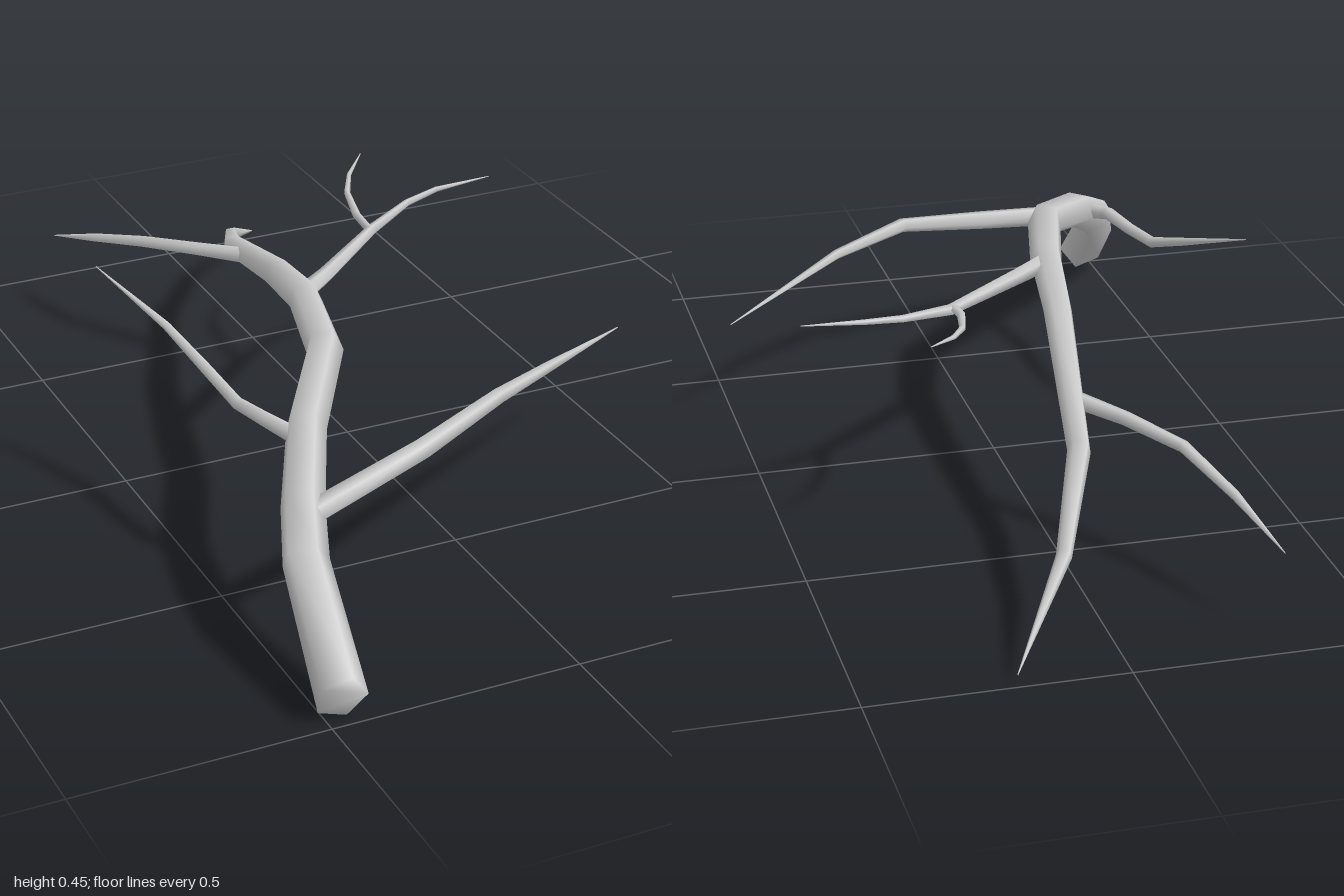
import * as THREE from 'three';

const SIDES = 5;
const material = new THREE.MeshStandardMaterial({ color: 0xcccccc });

// Tapered five-sided limb through points [x, y, z, radius], closed at its base.
// startDirection sets the slant of the base cut.
function limb(name, points, startDirection) {
  const centres = points.map(([x, y, z]) => new THREE.Vector3(x, y, z));
  const last = centres.length - 1;
  const positions = [];
  const indices = [];
  const side = new THREE.Vector3(1, 0, 0);

  centres.forEach((centre, i) => {
    // Ring square to the path; the side direction is carried along to avoid twist
    const along = new THREE.Vector3();
    if (i === 0 && startDirection) along.set(...startDirection);
    else {
      if (i > 0) along.add(centre.clone().sub(centres[i - 1]).normalize());
      if (i < last) along.add(centres[i + 1].clone().sub(centre).normalize());
    }
    along.normalize();
    side.addScaledVector(along, -side.dot(along)).normalize();
    const up = along.clone().cross(side);
    for (let j = 0; j < SIDES; j++) {
      const a = (j / SIDES) * Math.PI * 2;
      const p = centre.clone()
        .addScaledVector(side, Math.cos(a) * points[i][3])
        .addScaledVector(up, Math.sin(a) * points[i][3]);
      positions.push(p.x, p.y, p.z);
      if (i < last) {
        const k = i * SIDES;
        const n = (j + 1) % SIDES;
        indices.push(k + j, k + n, k + SIDES + j, k + n, k + SIDES + n, k + SIDES + j);
      }
    }
  });

  // Cut face, shaded softly into the bark
  for (let j = 1; j < SIDES - 1; j++) indices.push(0, j + 1, j);

  const geometry = new THREE.BufferGeometry();
  geometry.setAttribute('position', new THREE.Float32BufferAttribute(positions, 3));
  geometry.setIndex(indices);
  geometry.computeVertexNormals();
  const mesh = new THREE.Mesh(geometry, material);
  mesh.name = name;
  return mesh;
}

export function createModel() {
  const group = new THREE.Group();
  group.name = 'branch';

  group.add(
    // Arching main bough
    limb('mainBough', [
      [-0.473, 0.052, 0.982, 0.051], [-0.438, 0.205, 0.752, 0.046], [-0.398, 0.262, 0.65, 0.044],
      [-0.322, 0.333, 0.5, 0.041], [-0.195, 0.386, 0.31, 0.038], [-0.14, 0.388, 0.1, 0.035],
      [-0.11, 0.352, -0.1, 0.031], [-0.035, 0.23, -0.52, 0.024], [0.065, 0.138, -0.77, 0.016],
      [0.214, 0.027, -0.995, 0.001],
    ], [0.1, 0.3, -1]),
    // Long lower branch
    limb('lowerLeftBranch', [
      [-0.39, 0.253, 0.68, 0.024], [-0.13, 0.288, 0.605, 0.021], [0.07, 0.321, 0.53, 0.016],
      [0.24, 0.305, 0.43, 0.011], [0.512, 0.246, 0.23, 0.001],
    ]),
    // Rising branch on the other side
    limb('lowerRightBranch', [
      [-0.345, 0.322, 0.52, 0.018], [-0.38, 0.335, 0.455, 0.015], [-0.4, 0.331, 0.36, 0.013],
      [-0.41, 0.348, 0.22, 0.012], [-0.44, 0.39, 0.1, 0.009], [-0.515, 0.455, -0.085, 0.001],
    ]),
    // Forked middle branch and its twig
    limb('middleLeftBranch', [
      [-0.13, 0.385, 0.07, 0.02], [-0.05, 0.384, 0.005, 0.017], [0.13, 0.389, -0.15, 0.012],
      [0.24, 0.405, -0.21, 0.008], [0.32, 0.414, -0.23, 0.006], [0.448, 0.42, -0.232, 0.001],
    ]),
    limb('middleTwig', [
      [0.12, 0.39, -0.14, 0.009], [0.12, 0.4, -0.21, 0.009], [0.14, 0.412, -0.3, 0.007],
      [0.175, 0.421, -0.365, 0.005], [0.235, 0.435, -0.433, 0.001],
    ]),
    // Drooping branch near the tip
    limb('upperRightBranch', [
      [-0.07, 0.27, -0.38, 0.018], [-0.14, 0.262, -0.47, 0.015], [-0.22, 0.246, -0.59, 0.013],
      [-0.275, 0.205, -0.74, 0.01], [-0.32, 0.155, -0.9, 0.001],
    ]),
  );
  return group;
}
